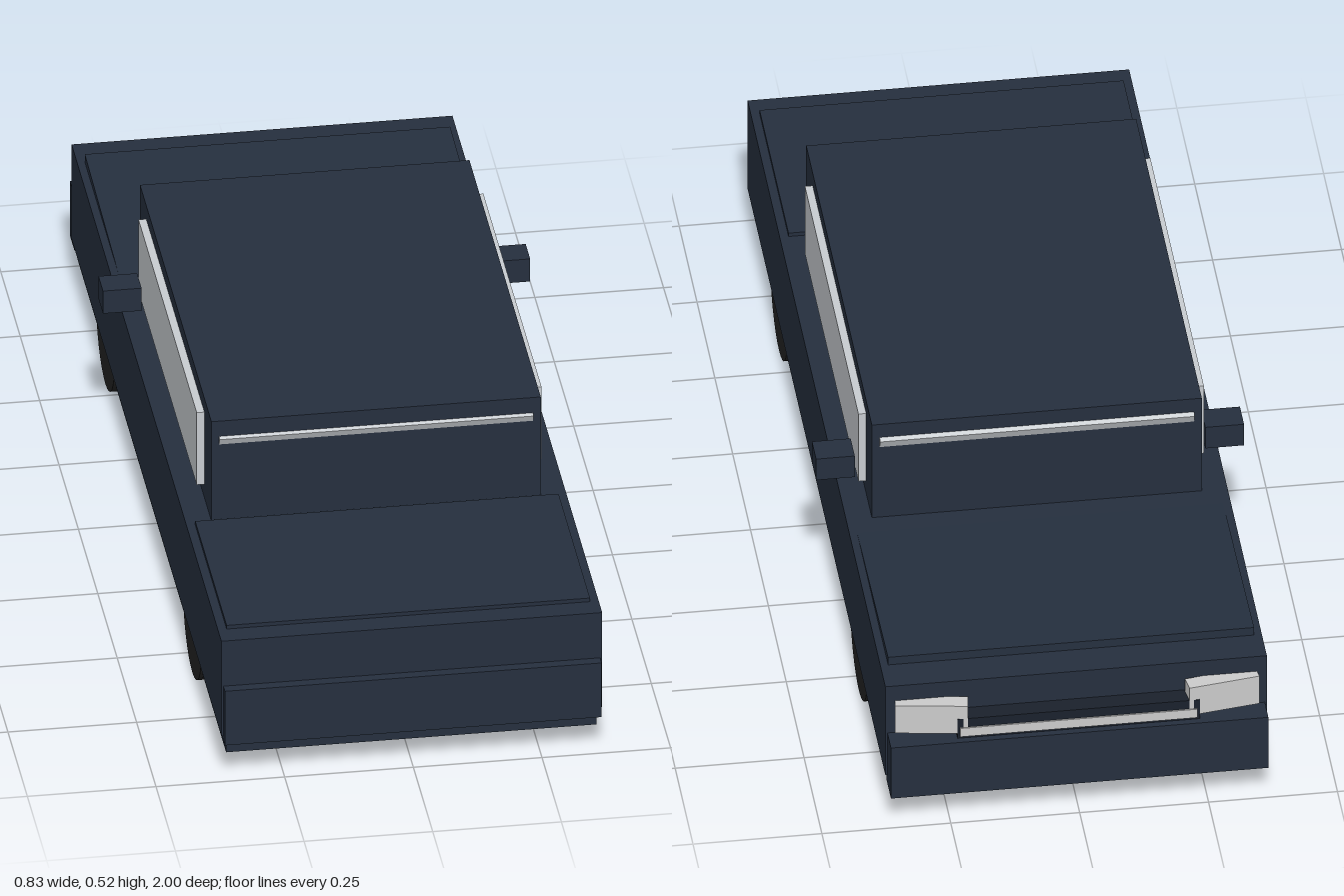
import * as THREE from 'three';

export function createModel() {
  const car = new THREE.Group();
  car.name = 'car';

  const mat = (color) => new THREE.MeshStandardMaterial({ color });
  const paint = mat(0x252f3e);
  const glass = mat(0xc8ccd0);
  const chrome = mat(0xcccccc);
  const grilleDark = mat(0x1a212c);
  const rubber = mat(0x222222);

  // Box given by its extents on each axis
  function box(name, [x0, x1], [y0, y1], [z0, z1], material) {
    const mesh = new THREE.Mesh(new THREE.BoxGeometry(x1 - x0, y1 - y0, z1 - z0), material);
    mesh.position.set((x0 + x1) / 2, (y0 + y1) / 2, (z0 + z1) / 2);
    mesh.name = name;
    car.add(mesh);
    return mesh;
  }
  const wide = (w) => [-w, w];

  // Lower body; the nose points to -z
  box('body', wide(0.37), [0.09, 0.3], [-0.95, 0.98], paint);
  box('floorPan', wide(0.36), [0.05, 0.1], [-0.94, 0.975], paint);
  box('noseBumper', wide(0.366), [0.07, 0.19], [-1, -0.94], paint);
  box('tailBumper', wide(0.366), [0.08, 0.2], [0.96, 1], paint);

  // Lids: the hood slopes down towards the cabin
  const hood = box('hood', wide(0.355), [0.278, 0.308], [-0.88, -0.41], paint);
  hood.rotation.x = 0.04;
  box('trunkLid', wide(0.353), [0.28, 0.308], [0.53, 0.935], paint);

  // Cabin with tilted screens whose top edges show as thin strips
  box('cabin', wide(0.32), [0.29, 0.52], [-0.4, 0.52], paint);
  const rearScreen = box('rearScreen', wide(0.305), [0.295, 0.495], [0.474, 0.484], glass);
  rearScreen.rotation.x = 0.45;
  const windscreen = box('windscreen', wide(0.305), [0.297, 0.497], [-0.366, -0.356], glass);
  windscreen.rotation.x = -0.45;

  // Grille with a bright bar along its face
  box('grille', wide(0.235), [0.19, 0.235], [-0.986, -0.94], grilleDark);
  box('grilleBar', wide(0.23), [0.195, 0.215], [-0.989, -0.98], chrome);

  // Mirrored parts
  for (const side of [-1, 1]) {
    const span = (a, b) => (side > 0 ? [a, b] : [-b, -a]);
    const label = side > 0 ? 'left' : 'right';
    box(label + 'Window', span(0.31, 0.335), [0.33, 0.49], [-0.32, 0.43], glass);
    box(label + 'Mirror', span(0.34, 0.415), [0.33, 0.38], [-0.305, -0.247], paint);
    const lamp = box(label + 'Headlight', span(0.212, 0.352), [0.2, 0.265], [-0.977, -0.945], chrome);
    lamp.rotation.y = -side * 0.15;

    for (const [end, z] of [['front', -0.545], ['rear', 0.575]]) {
      const wheel = new THREE.Mesh(new THREE.CylinderGeometry(0.12, 0.12, 0.095, 32), rubber);
      wheel.rotation.z = Math.PI / 2;
      wheel.position.set(side * 0.318, 0.12, z);
      wheel.name = label + '_' + end + 'Wheel';
      car.add(wheel);
    }
  }
  return car;
}
